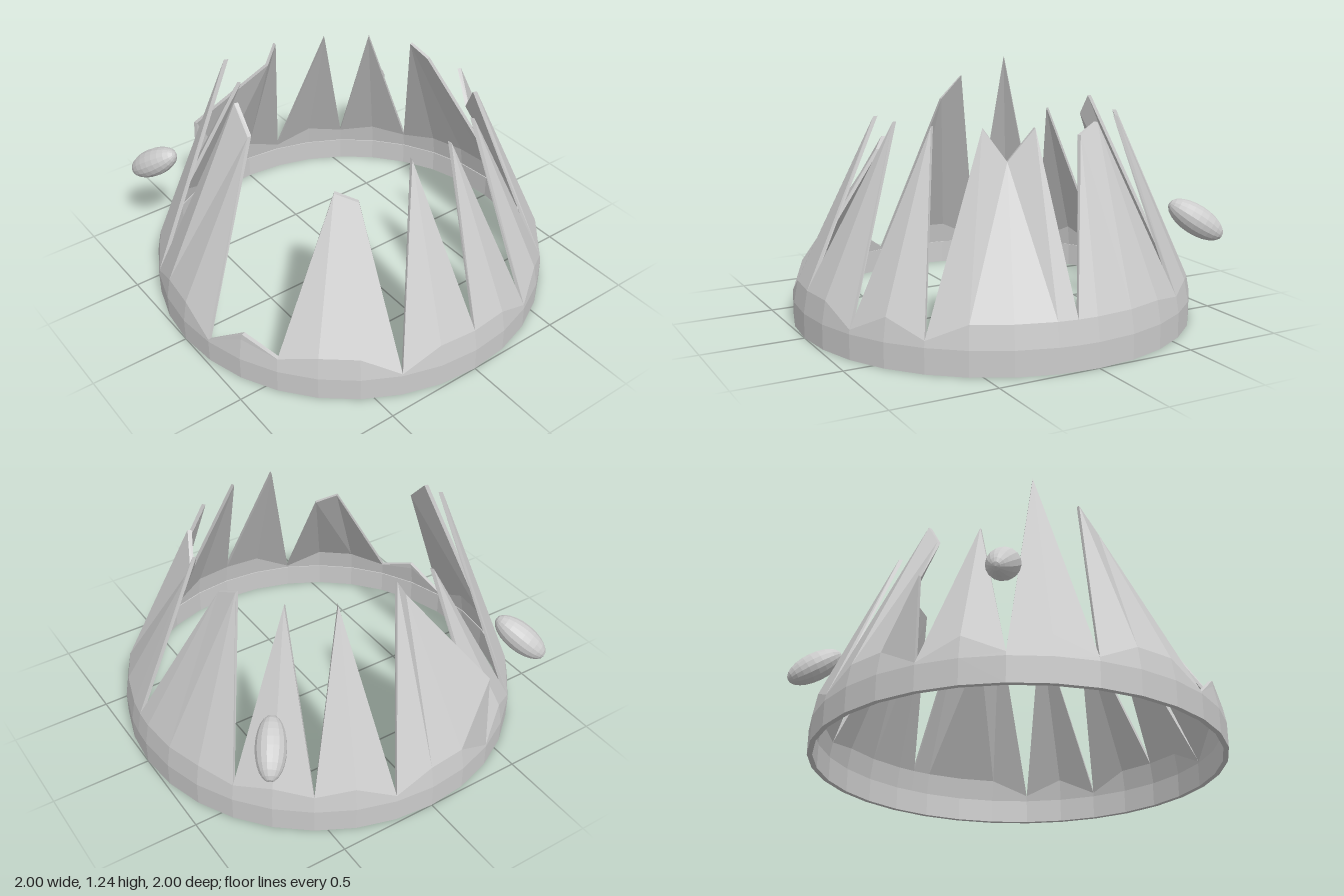
import * as THREE from 'three';

const STEP = Math.PI / 16;      // the band has 32 sides
const BAND_TOP = 0.12, SHOULDER = 0.23, THICK = 0.02;

const material = () => new THREE.MeshStandardMaterial({
  color: 0xcccccc, flatShading: true, side: THREE.DoubleSide });

// Notches between spikes: [column round the band from the front toward +x, height]
const notches = [
  [0, 0.23], [2, 0.14], [4, 0.15], [7.5, 0.23], [11, 0.2], [13, 0.2], [15, 0.15],
  [18, 0.13], [20, 0.14], [22, 0.14], [25, 0.13], [27, 0.19], [30, 0.13], [32, 0.23],
];

// Tip points of each spike, in order round the band
const tips = [
  [[0.14, 1.02, 0.59]],
  [[0.36, 1.02, 0.5]],
  [[0.53, 1.02, 0.33], [0.58, 0.87, 0.23], [0.62, 1.02, 0.11]],
  [[0.62, 0.97, -0.13], [0.59, 1.02, -0.24]],
  [[0.46, 1.02, -0.44]],
  [[0.26, 1.02, -0.57]],
  [[-0.03, 1.06, -0.61], [-0.09, 0.96, -0.6], [-0.37, 0.55, -0.91]],
  [[-0.31, 0.97, -0.52]],
  [[-0.48, 1.24, -0.34]],
  [[-0.57, 1.14, -0.12], [-0.58, 1.02, 0]],
  [[-0.9, 0.26, 0.38]],
  [[-0.4, 0.87, 0.42], [-0.31, 0.82, 0.49]],
  [[-0.09, 1.02, 0.59]],
];

// Point on the shell just above the band
function shellPoint(column, y) {
  const r = 1 - 0.18 * (y - BAND_TOP), a = column * STEP;
  return new THREE.Vector3(Math.sin(a) * r, y, Math.cos(a) * r);
}

// The matching point on the inner face
function inward(p) {
  const k = 1 - THICK / Math.hypot(p.x, p.z);
  return new THREE.Vector3(p.x * k, p.y, p.z * k);
}

function spikeGeometry([startCol, startY], [endCol, endY], tipList) {
  // Columns across the spike: both notches and every band edge between them
  const cols = [startCol];
  for (let c = Math.floor(startCol) + 1; c < endCol; c++) cols.push(c);
  cols.push(endCol);
  const n = cols.length - 1;
  const base = cols.map((c) => shellPoint(c, BAND_TOP));
  const mid = cols.map((c, i) =>
    shellPoint(c, i === 0 ? startY : i === n ? endY : SHOULDER));
  const top = tipList.map((t) => new THREE.Vector3(...t));

  // Outer face: a short strip, then facets that converge on the tips
  const tris = [];
  let current = 0;
  for (let i = 0; i < n; i++) {
    tris.push([base[i], base[i + 1], mid[i + 1]], [base[i], mid[i + 1], mid[i]]);
    const wanted = Math.floor((i + 0.5) / n * top.length);
    while (current < wanted) tris.push([mid[i], top[current + 1], top[current++]]);
    tris.push([mid[i], mid[i + 1], top[current]]);
  }
  while (current < top.length - 1) tris.push([mid[n], top[current + 1], top[current++]]);

  // Inner face and the thin walls round the outline
  const inner = tris.map(([a, b, c]) => [inward(a), inward(c), inward(b)]);
  const outline = [...base, mid[n], ...[...top].reverse(), mid[0]];
  const walls = outline.flatMap((p, i) => {
    const q = outline[(i + 1) % outline.length];
    return [[p, inward(p), q], [q, inward(p), inward(q)]];
  });

  const geometry = new THREE.BufferGeometry()
    .setFromPoints([...tris, ...inner, ...walls].flat());
  geometry.computeVertexNormals();
  return geometry;
}

export function createModel() {
  const model = new THREE.Group();
  model.name = 'jaggedCrown';

  // Band at the foot of the shell
  const inside = 1 - THICK - 0.005;
  const profile = [[inside, 0], [1, 0], [1, BAND_TOP], [inside, BAND_TOP], [inside, 0]]
    .map(([r, y]) => new THREE.Vector2(r, y));
  const band = new THREE.Mesh(new THREE.LatheGeometry(profile, 32), material());
  band.name = 'band';
  model.add(band);

  // Jagged spikes leaning inward
  const spikes = new THREE.Group();
  spikes.name = 'spikes';
  tips.forEach((list, i) => {
    const spike = new THREE.Mesh(spikeGeometry(notches[i], notches[i + 1], list), material());
    spike.name = `spike${i + 1}`;
    spikes.add(spike);
  });
  model.add(spikes);

  // Two egg-shaped studs behind, pointing outward and down
  for (const side of [1, -1]) {
    const stud = new THREE.Mesh(new THREE.SphereGeometry(1, 16, 12), material());
    stud.name = side > 0 ? 'leftStud' : 'rightStud';
    stud.scale.set(0.072, 0.15, 0.072);
    stud.position.set(side * 0.715, 0.53, -0.73);
    stud.quaternion.setFromUnitVectors(new THREE.Vector3(0, 1, 0),
      new THREE.Vector3(side * 0.47, -0.53, -0.7).normalize());
    model.add(stud);
  }
  return model;
}
